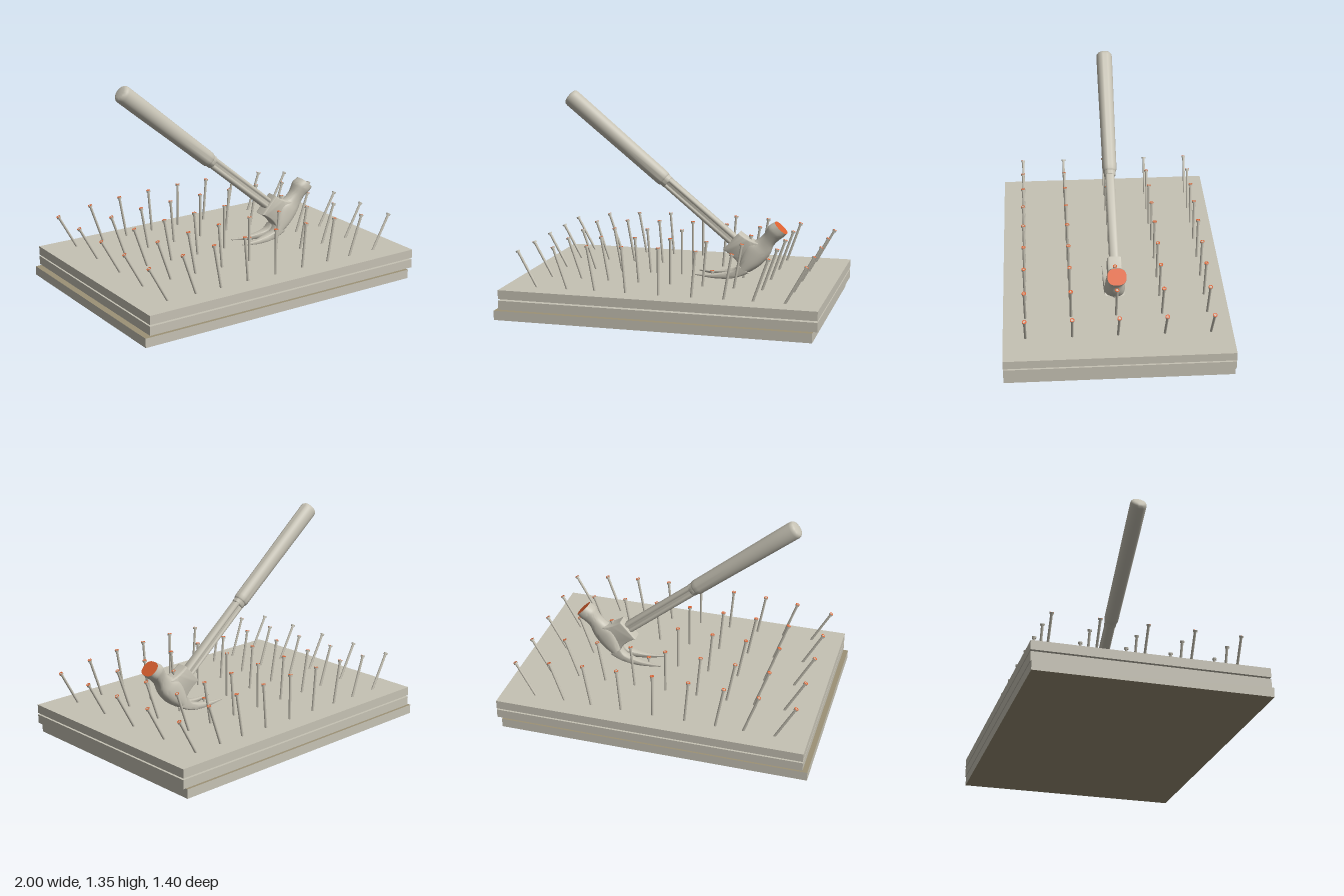
import * as THREE from 'three';
import { toCreasedNormals } from 'three/addons/utils/BufferGeometryUtils.js';

const mat = (name, color) => {
  const m = new THREE.MeshStandardMaterial({ color });
  m.name = name;
  return m;
};

// Loft through sections [upperX, upperY, lowerX, lowerY, z0, z1]; group 1 is the starting cap
function loft(sections, power, segs = 32) {
  const pos = [], idx = [], cap = [];
  const signedPow = v => Math.sign(v) * Math.pow(Math.abs(v), power);
  for (const [ax, ay, bx, by, z0, z1] of sections) {
    for (let j = 0; j < segs; j++) {
      const t = (j / segs) * Math.PI * 2;
      const c = signedPow(Math.cos(t)) / 2, s = signedPow(Math.sin(t)) / 2;
      pos.push((ax + bx) / 2 + (ax - bx) * c, (ay + by) / 2 + (ay - by) * c, (z0 + z1) / 2 + (z1 - z0) * s);
    }
  }
  const n = sections.length;
  for (const k of [0, n - 1]) {
    const [ax, ay, bx, by, z0, z1] = sections[k];
    pos.push((ax + bx) / 2, (ay + by) / 2, (z0 + z1) / 2);
  }
  for (let j = 0; j < segs; j++) {
    const k = (j + 1) % segs;
    for (let i = 0; i < n - 1; i++) {
      const a = i * segs + j, b = i * segs + k;
      idx.push(a, a + segs, b, b, a + segs, b + segs);
    }
    idx.push(n * segs + 1, (n - 1) * segs + k, (n - 1) * segs + j);
    cap.push(n * segs, j, k);
  }
  const g = new THREE.BufferGeometry();
  g.setAttribute('position', new THREE.Float32BufferAttribute(pos, 3));
  g.setIndex([...idx, ...cap]);
  g.addGroup(0, idx.length, 0);
  g.addGroup(idx.length, cap.length, 1);
  return toCreasedNormals(g, 0.7);
}

// Extra sections along a smooth curve through the given ones
function refine(sections, steps = 3) {
  const out = [], last = sections.length - 1;
  const cr = (p0, p1, p2, p3, t) => 0.5 * (2 * p1 + (p2 - p0) * t
    + (2 * p0 - 5 * p1 + 4 * p2 - p3) * t * t + (3 * p1 - p0 - 3 * p2 + p3) * t * t * t);
  for (let i = 0; i < last; i++) {
    const q = [-1, 0, 1, 2].map(d => sections[Math.min(last, Math.max(0, i + d))]);
    for (let s = 0; s < steps; s++) out.push(q[0].map((_, k) => cr(q[0][k], q[1][k], q[2][k], q[3][k], s / steps)));
  }
  out.push(sections[last]);
  return out;
}

export function createModel() {
  const grey = mat('warmGrey', 0xc6c2b4);
  const orange = mat('orange', 0xdc6030);
  const tan = mat('tan', 0x9c9276);
  const model = new THREE.Group();
  const add = (parent, name, geometry, material) => {
    const m = new THREE.Mesh(geometry, material);
    m.name = name;
    parent.add(m);
    return m;
  };

  // Three stacked boards, the lowest shifted sideways with tan faces
  [['bottomBoard', -0.015, 0, 0.058], ['middleBoard', 0.015, 0.068, 0.124], ['topBoard', 0.015, 0.134, 0.19]]
    .forEach(([name, x, y0, y1], i) => {
      const face = i === 0 ? tan : grey;
      add(model, name, new THREE.BoxGeometry(1.97, y1 - y0, 1.4), [grey, grey, face, face, grey, grey])
        .position.set(x, (y0 + y1) / 2, 0);
    });

  // Nails fanning outwards from the middle column
  const shaftGeo = new THREE.CylinderGeometry(0.008, 0.008, 1, 12);
  const headGeo = new THREE.CylinderGeometry(0.0135, 0.0135, 0.012, 14);
  const nail = (bx, by, hx, hy, z) => {
    const g = new THREE.Group();
    g.name = 'nail';
    const length = Math.hypot(hx - bx, hy - by);
    const shaft = add(g, 'nailShaft', shaftGeo, grey);
    shaft.scale.y = length;
    shaft.position.y = length / 2;
    add(g, 'nailHead', headGeo, [grey, orange, grey]).position.y = length - 0.006;
    g.position.set(bx, by, z);
    g.rotation.z = -Math.atan2(hx - bx, hy - by);
    model.add(g);
  };
  const columns = [[-0.76, -0.89, 0.415], [-0.566, -0.66, 0.45], [-0.39, -0.442, 0.468], [-0.195, -0.22, 0.475],
    [0.01, 0.01, 0.48], [0.215, 0.24, 0.475], [0.412, 0.462, 0.468], [0.588, 0.682, 0.45], [0.78, 0.91, 0.415]];
  [-0.567, -0.285, 0, 0.28, 0.562].forEach((z, row) => columns.forEach(([bx, hx, hy], col) => {
    if (row === 2 && col === 5) nail(0.21, 0.03, 0.21, 0.225, 0); // nail caught by the claw
    else nail(bx, 0.18, hx, hy, z);
  }));

  // Hammer
  const hammer = new THREE.Group();
  hammer.name = 'hammer';
  model.add(hammer);

  // Striking face, throat and body
  const body = [[0.615, 0.562, 0.69, 0.49, 0.058], [0.578, 0.54, 0.665, 0.465, 0.06], [0.562, 0.515, 0.64, 0.447, 0.054],
    [0.54, 0.478, 0.606, 0.41, 0.046], [0.495, 0.44, 0.587, 0.36, 0.047], [0.44, 0.42, 0.56, 0.318, 0.056],
    [0.4, 0.345, 0.515, 0.272, 0.062], [0.385, 0.28, 0.455, 0.232, 0.063]];
  add(hammer, 'hammerHead', loft(refine(body.map(([a, b, c, d, z]) => [a, b, c, d, -z, z])), 0.8), [grey, orange]);

  // Split claw: two tapering prongs
  const prong = [[0.385, 0.285, 0.46, 0.235, 0, 0.062], [0.355, 0.246, 0.385, 0.203, 0.006, 0.064],
    [0.27, 0.223, 0.31, 0.19, 0.022, 0.065], [0.19, 0.214, 0.22, 0.191, 0.04, 0.065], [0.11, 0.213, 0.112, 0.205, 0.06, 0.064]];
  add(hammer, 'leftProng', loft(refine(prong), 0.4, 24), [grey, grey]);
  add(hammer, 'rightProng', loft(refine(prong.map(([a, b, c, d, z0, z1]) => [a, b, c, d, -z1, -z0])), 0.4, 24), [grey, grey]);

  // Cheek that holds the handle
  const cheek = new THREE.Shape();
  cheek.moveTo(0.39, 0.476);
  cheek.lineTo(0.3, 0.376);
  cheek.quadraticCurveTo(0.38, 0.33, 0.4, 0.28);
  cheek.lineTo(0.5, 0.31);
  cheek.lineTo(0.51, 0.42);
  cheek.quadraticCurveTo(0.45, 0.43, 0.39, 0.476);
  const cheekGeo = new THREE.ExtrudeGeometry(cheek, {
    depth: 0.06, bevelThickness: 0.014, bevelSize: 0.009, bevelSegments: 4, curveSegments: 8 });
  cheekGeo.translate(0, 0, -0.03);
  add(hammer, 'cheek', toCreasedNormals(cheekGeo, 0.7), grey);

  // Handle, running up and away from the head
  const handle = new THREE.Group();
  handle.name = 'handle';
  handle.position.set(0.35, 0.43, 0);
  handle.rotation.z = 0.885;
  hammer.add(handle);

  // Fluted neck
  const neck = new THREE.Shape();
  [[0.036, -0.018], [0.036, 0.018], [0.026, 0.029], [0.014, 0.029], [0.008, 0.022], [-0.008, 0.022], [-0.014, 0.029],
    [-0.026, 0.029], [-0.036, 0.018], [-0.036, -0.018], [-0.026, -0.029], [-0.014, -0.029], [-0.008, -0.022],
    [0.008, -0.022], [0.014, -0.029], [0.026, -0.029]].forEach(([x, y], i) => i ? neck.lineTo(x, y) : neck.moveTo(x, y));
  const neckGeo = new THREE.ExtrudeGeometry(neck, { depth: 0.62, bevelEnabled: false });
  neckGeo.rotateX(-Math.PI / 2);
  add(handle, 'neck', toCreasedNormals(neckGeo, 0.9), grey);

  // Oval grip with rounded ends and a small collar
  const profile = [[0, 0.555], [0.034, 0.555], [0.038, 0.56], [0.038, 0.585], [0.041, 0.588], [0.044, 0.596], [0.045, 0.62],
    [0.047, 0.9], [0.05, 1.2], [0.051, 1.375], [0.049, 1.39], [0.042, 1.4], [0.03, 1.404], [0, 1.405]];
  const gripGeo = new THREE.LatheGeometry(profile.map(p => new THREE.Vector2(...p)), 32);
  gripGeo.scale(1.12, 1, 1);
  add(handle, 'grip', toCreasedNormals(gripGeo, 0.7), grey);

  return model;
}
